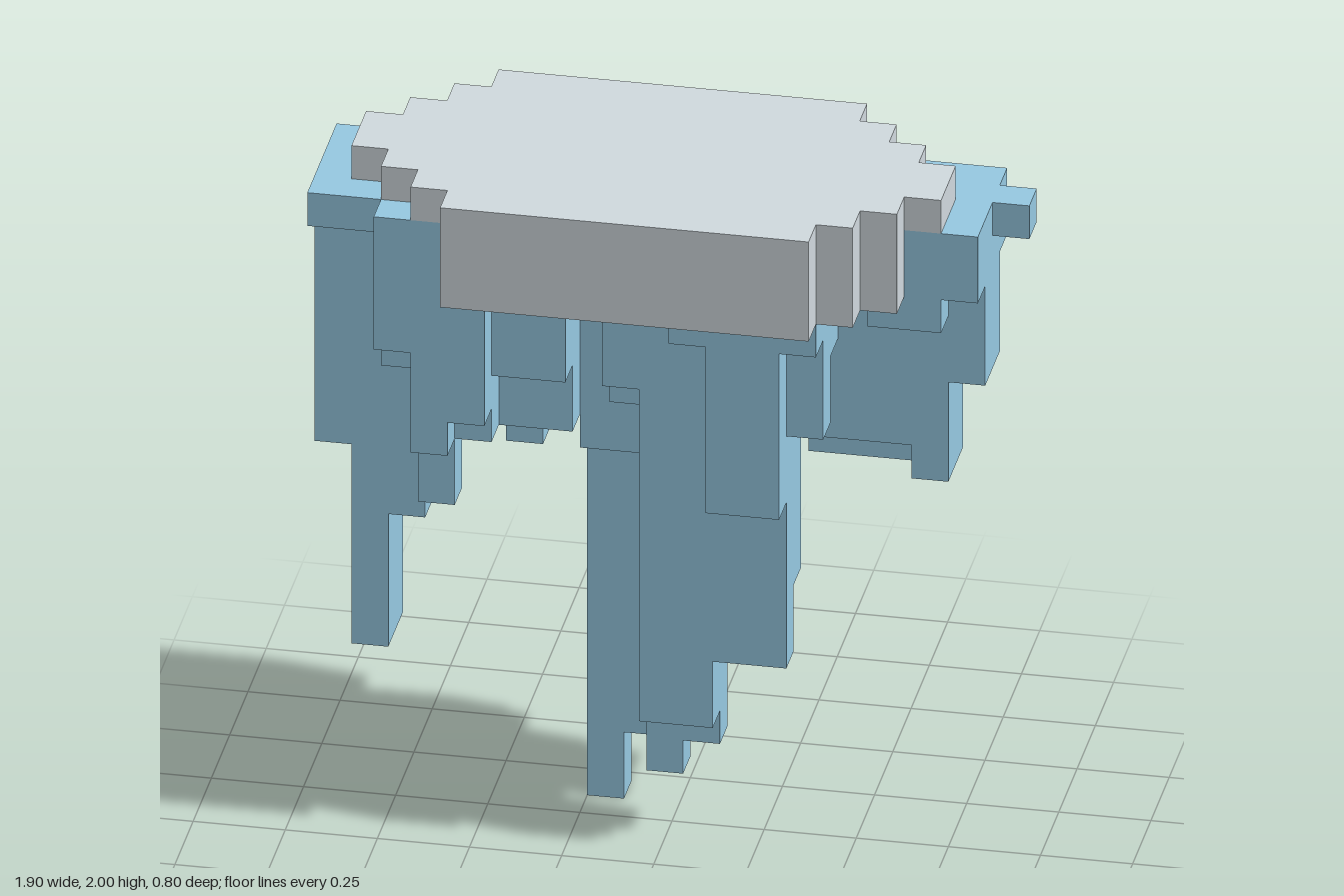
import * as THREE from 'three';

const U = 0.1; // block size
const SIDES = [[1, 0, 0], [-1, 0, 0], [0, 1, 0], [0, -1, 0], [0, 0, 1], [0, 0, -1]];

export function createModel() {
  const group = new THREE.Group();
  const stone = new THREE.MeshStandardMaterial({ color: 0xd2dbe0 });
  stone.name = 'pale grey stone';
  const ice = new THREE.MeshStandardMaterial({ color: 0x97cae3 });
  ice.name = 'ice blue';

  // Block grid: each filled cell holds the name of its part
  const grid = new Map();
  // A row of hanging columns along x, each from its own bottom up to a shared top
  const row = (part, x, z, bottoms, top = 17) => bottoms.forEach((bottom, i) => {
    for (let y = bottom; y < top; y++) grid.set(`${x + i},${y},${z}`, part);
  });

  // Oval slab: each row is one block shorter at both ends towards front and back
  for (let z = -4; z < 4; z++) {
    const d = z < 0 ? -z - 1 : z;
    for (let x = 1 + d; x < 17 - d; x++) row('slab', x, z, [x === 1 ? 19 : 17], 20);
  }
  row('slab', 7, -1, [16]);

  // Stepped icicle under the front edge
  row('frontIcicle', 10, 2, [16, 11, 11, 16]);
  row('frontIcicle', 8, 1, [14, 4, 4, 6, 6, 13]);
  row('frontIcicle', 8, 0, [13, 2, 3, 8, 8, 15]);
  row('frontIcicle', 9, -1, [13, 13]);

  // Longest icicle, reaching the ground
  row('backIcicle', 7, -1, [11], 16);
  row('backIcicle', 8, -1, [11]);
  row('backIcicle', 7, -2, [0, 2]);
  row('backIcicle', 7, -3, [9, 9]);

  // Broad mass of ice wrapping the left end
  row('leftIceMass', 15, 0, [16]);
  row('leftIceMass', 16, 0, [16, 17], 19);
  row('leftIceMass', 13, -1, [12, 12, 12]);
  row('leftIceMass', 16, -1, [11, 14], 19);
  row('leftIceMass', 13, -2, [11, 11, 11]);
  row('leftIceMass', 16, -2, [11, 14, 18], 19);
  row('leftIceMass', 13, -3, [15]);
  row('leftIceMass', 14, -3, [15, 15, 15, 17], 19);

  // Leg of ice and its ledge at the right end
  for (const z of [-1, 0]) row('rightIcicle', 0, z, [11, 5, 9], 19);
  for (const z of [-2, 1]) row('rightIcicle', 0, z, [18, 18], 19);

  // Short ragged icicles at the front right
  row('shortIcicles', 2, 2, [15, 12], 19);
  row('shortIcicles', 4, 2, [13]);
  row('shortIcicles', 2, 1, [14, 10], 19);
  row('shortIcicles', 4, 1, [12, 14, 14]);
  row('shortIcicles', 5, 0, [12, 12]);
  row('shortIcicles', 5, -1, [11]);

  // One mesh per part, made from its exposed block faces
  for (const name of new Set(grid.values())) {
    const position = [], normal = [], index = [];
    for (const [key, owner] of grid) {
      if (owner !== name) continue;
      const cell = key.split(',').map(Number);
      for (const n of SIDES) {
        if (grid.has(cell.map((v, i) => v + n[i]).join(','))) continue;
        const axis = n.findIndex((v) => v !== 0);
        const base = position.length / 3;
        for (const [s, t] of [[0, 0], [1, 0], [1, 1], [0, 1]]) {
          const p = [...cell];
          if (n[axis] > 0) p[axis] += 1;
          p[(axis + 1) % 3] += s;
          p[(axis + 2) % 3] += t;
          position.push(p[0] * U - 0.95, p[1] * U, p[2] * U);
          normal.push(...n);
        }
        const order = n[axis] > 0 ? [0, 1, 2, 0, 2, 3] : [0, 2, 1, 0, 3, 2];
        index.push(...order.map((i) => base + i));
      }
    }
    const geometry = new THREE.BufferGeometry();
    geometry.setAttribute('position', new THREE.Float32BufferAttribute(position, 3));
    geometry.setAttribute('normal', new THREE.Float32BufferAttribute(normal, 3));
    geometry.setIndex(index);
    const mesh = new THREE.Mesh(geometry, name === 'slab' ? stone : ice);
    mesh.name = name;
    group.add(mesh);
  }
  return group;
}
